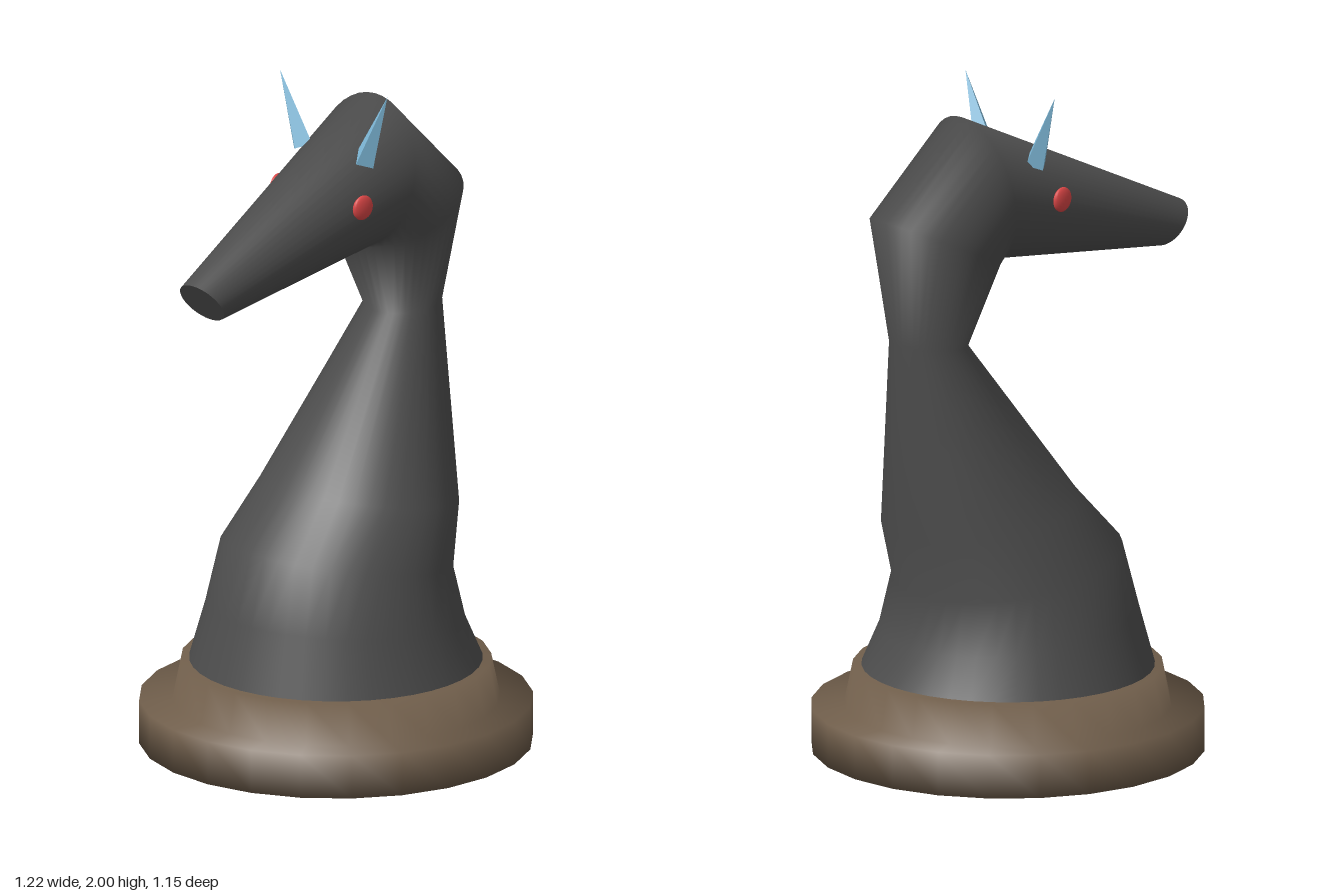
import * as THREE from 'three';

const grey = new THREE.MeshStandardMaterial({ color: 0x4d4d4d });
grey.name = 'dark grey';
const brown = new THREE.MeshStandardMaterial({ color: 0x705e4b });
brown.name = 'brown';
const blue = new THREE.MeshStandardMaterial({ color: 0x80bbdb });
blue.name = 'light blue';
const red = new THREE.MeshStandardMaterial({ color: 0xdb4646 });
red.name = 'red';

const SIDES = 40;
const CENTRE_X = 0.036;

// Point on an elliptical section: front edge (x, y), back edge (x, y), half width in z
function sectionPoint([fx, fy, bx, by, w], i) {
  const a = (i / SIDES) * Math.PI * 2;
  const c = Math.cos(a);
  return [
    (fx + bx) / 2 + ((bx - fx) / 2) * c,
    (fy + by) / 2 + ((by - fy) / 2) * c,
    w * Math.sin(a),
  ];
}

// Smooth skin through the sections
function loft(sections) {
  const pos = [], idx = [];
  for (const s of sections) for (let i = 0; i < SIDES; i++) pos.push(...sectionPoint(s, i));
  for (let r = 0; r < sections.length - 1; r++) {
    for (let i = 0; i < SIDES; i++) {
      const j = (i + 1) % SIDES;
      const a = r * SIDES + i, b = r * SIDES + j;
      idx.push(a, a + SIDES, b, b, a + SIDES, b + SIDES);
    }
  }
  return finish(pos, idx);
}

// Flat end over one section
function cap(s) {
  const pos = [(s[0] + s[2]) / 2, (s[1] + s[3]) / 2, 0], idx = [];
  for (let i = 0; i < SIDES; i++) {
    pos.push(...sectionPoint(s, i));
    idx.push(0, ((i + 1) % SIDES) + 1, i + 1);
  }
  return finish(pos, idx);
}

function finish(pos, idx) {
  const g = new THREE.BufferGeometry();
  g.setAttribute('position', new THREE.Float32BufferAttribute(pos, 3));
  g.setIndex(idx);
  g.computeVertexNormals();
  return g;
}

function add(parent, name, geometry, material) {
  const m = new THREE.Mesh(geometry, material);
  m.name = name;
  parent.add(m);
  return m;
}

export function createModel() {
  const model = new THREE.Group();
  model.name = 'chessKnight';

  // Stepped round base
  const profile = [[0, 0], [0.575, 0], [0.575, 0.13], [0.478, 0.13], [0.453, 0.25], [0, 0.25]]
    .map(([x, y]) => new THREE.Vector2(x, y));
  add(model, 'base', new THREE.LatheGeometry(profile, 24), brown).position.x = CENTRE_X;

  // Chest, neck and head in one skin, from the base to the muzzle
  const sections = [
    [-0.393, 0.245, 0.465, 0.245, 0.43],
    [-0.345, 0.43, 0.41, 0.36, 0.38],
    [-0.29, 0.63, 0.37, 0.51, 0.345],
    [-0.14, 0.79, 0.425, 0.69, 0.295],
    [0.22, 1.26, 0.45, 1.28, 0.115],
    [0.125, 1.485, 0.495, 1.66, 0.2],
    [0.12, 1.49, 0.21, 1.93, 0.19],
    [-0.52, 1.415, -0.61, 1.54, 0.075],
  ];
  add(model, 'neckAndHead', loft(sections), grey);
  add(model, 'muzzleEnd', cap(sections[sections.length - 1]), grey);

  // Four-sided pointed ears with flat faces
  const earGeometry = new THREE.ConeGeometry(0.037, 0.232, 4).toNonIndexed();
  earGeometry.computeVertexNormals();
  const eyeGeometry = new THREE.SphereGeometry(0.037, 20, 14).scale(1, 1, 0.35);

  for (const side of [1, -1]) {
    const label = side > 0 ? 'left' : 'right';
    const ear = add(model, label + 'Ear', earGeometry, blue);
    ear.position.set(0.035, 1.893, side * 0.161 - 0.008);
    ear.rotation.x = side * 0.39;

    // Flattened eyes lying along the cheek
    const eye = add(model, label + 'Eye', eyeGeometry, red);
    eye.position.set(-0.035, 1.673, side * 0.163);
    eye.rotation.y = -side * 0.157;
  }
  return model;
}
